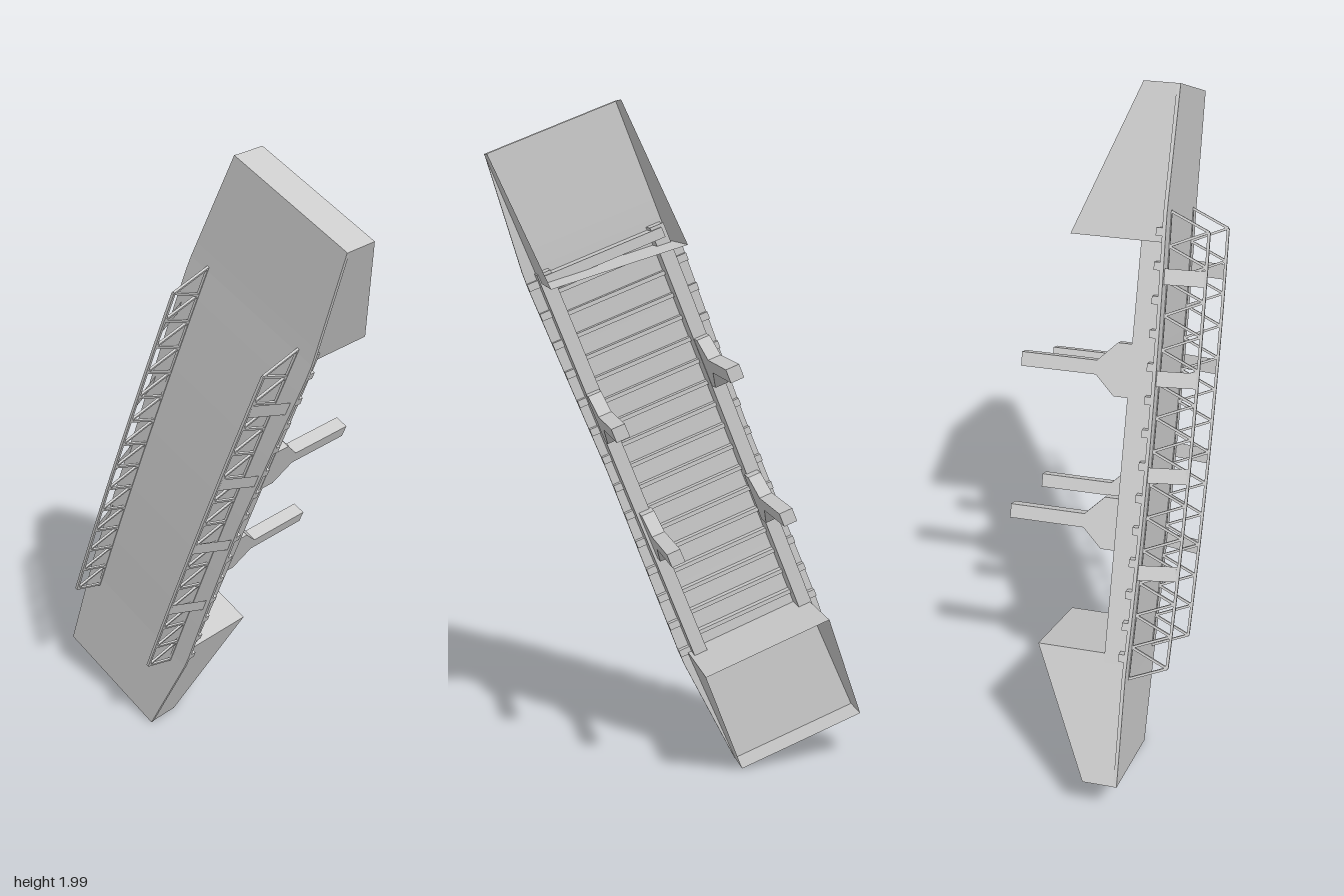
import * as THREE from 'three';

const mat = new THREE.MeshStandardMaterial({ color: 0xcccccc, flatShading: true, side: THREE.DoubleSide });
const V = (x, y, z) => new THREE.Vector3(x, y, z);

// gentle rise of the deck between the abutments
const camber = (y) => 0.01 * Math.max(0, 1 - (y / 0.66) ** 2);

// deck edges: [y, right edge, left edge]
const edges = [[-1, -0.205, 0.198], [-0.63, -0.226, 0.232], [0, -0.223, 0.22], [0.63, -0.237, 0.229], [1, -0.207, 0.196]];
function edgeAt(y, side) {
  let i = 0;
  while (i < edges.length - 2 && y > edges[i + 1][0]) i++;
  const a = edges[i], b = edges[i + 1], k = side < 0 ? 1 : 2;
  return THREE.MathUtils.mapLinear(y, a[0], b[0], a[k], b[k]);
}

function add(parent, name, geometry) {
  const mesh = new THREE.Mesh(geometry, mat);
  mesh.name = name;
  parent.add(mesh);
  return mesh;
}

function box(parent, name, w, h, d, x, y, z) {
  const mesh = add(parent, name, new THREE.BoxGeometry(w, h, d));
  mesh.position.set(x, y, z);
  return mesh;
}

// square bar between two points
function bar(parent, name, a, b, t) {
  const mesh = add(parent, name, new THREE.BoxGeometry(t, t, a.distanceTo(b)));
  mesh.position.copy(a).add(b).multiplyScalar(0.5);
  mesh.lookAt(b);
  return mesh;
}

// box bent to follow the camber
function beam(parent, name, w, length, z0, z1, x) {
  const g = new THREE.BoxGeometry(w, length, z1 - z0, 1, 20, 1).translate(x, 0, (z0 + z1) / 2);
  const p = g.attributes.position;
  for (let i = 0; i < p.count; i++) if (p.getZ(i) > z0 + 0.001) p.setZ(i, p.getZ(i) + camber(p.getY(i)));
  return add(parent, name, g);
}

function sheet(parent, name, corners) {
  const g = new THREE.BufferGeometry().setFromPoints(corners);
  g.setIndex([0, 1, 2, 0, 2, 3]);
  g.computeVertexNormals();
  return add(parent, name, g);
}

function makeDeck() {
  const g = new THREE.BoxGeometry(2, 2, 0.01, 1, 40, 1).translate(0, 0, 0.126);
  const p = g.attributes.position;
  for (let i = 0; i < p.count; i++) {
    const y = p.getY(i);
    p.setXYZ(i, edgeAt(y, p.getX(i)), y * 0.993, p.getZ(i) + camber(y));
  }
  g.computeVertexNormals();
  const mesh = new THREE.Mesh(g, mat);
  mesh.name = 'deck';
  return mesh;
}

// hollow abutment, open at the back, with sloping side walls
function makeAbutment(name, end, inR, inL) {
  const g = new THREE.Group();
  g.name = name;
  const outR = [-0.206, end], outL = [0.197, end];
  for (const [o, n] of [[outR, inR], [outL, inL]]) {
    sheet(g, 'sideWall', [V(...o, 0.13), V(...o, 0.03), V(...n, -0.137), V(...n, 0.13)]);
  }
  sheet(g, 'endWall', [V(...outR, 0.13), V(...outR, 0.03), V(...outL, 0.03), V(...outL, 0.13)]);
  sheet(g, 'innerWall', [V(...inR, 0.13), V(...inR, -0.137), V(...inL, -0.137), V(...inL, 0.13)]);
  const s = Math.sign(end);
  box(g, 'bearingShelf', 0.37, 0.03, 0.07, 0, (inR[1] + inL[1]) / 2 + s * 0.02, 0.085);
  return g;
}

// pier leg with a tapered haunch under the girder
function makePier(x, y) {
  const g = new THREE.Group();
  g.name = 'pier';
  box(g, 'leg', 0.04, 0.04, 0.29, 0, 0, -0.105);
  const s = new THREE.Shape([[-0.075, 0.07], [0.075, 0.07], [0.075, 0.02], [0.02, -0.035], [-0.02, -0.035], [-0.075, 0.02]]
    .map(([u, z]) => new THREE.Vector2(u, z)));
  const h = new THREE.ExtrudeGeometry(s, { depth: 0.04, bevelEnabled: false });
  // shape axes become y and z, depth becomes x
  h.applyMatrix4(new THREE.Matrix4().makeBasis(V(0, 1, 0), V(0, 0, 1), V(1, 0, 0)));
  h.translate(-0.02, 0, 0);
  add(g, 'haunch', h);
  g.position.set(x, y, 0);
  return g;
}

// zigzag railing truss with slanted ends
function makeRailing(side) {
  const g = new THREE.Group();
  g.name = side > 0 ? 'leftRailing' : 'rightRailing';
  const x = side * 0.172, n = 14, step = 1.33 / n;
  const low = (i) => { const y = -0.675 + i * step; return V(x, y, 0.13 + camber(y)); };
  const high = (i) => { const y = -0.675 + (i + 0.5) * step; return V(x, y, 0.238 + camber(y)); };
  for (let i = 0; i < n; i++) {
    bar(g, 'diagonal', low(i), high(i), 0.007);
    bar(g, 'diagonal', high(i), low(i + 1), 0.007);
    bar(g, 'bottomChord', low(i), low(i + 1), 0.007);
    if (i < n - 1) bar(g, 'topChord', high(i), high(i + 1), 0.008);
  }
  // leaning gusset plates on the outer side
  for (const y of [0.48, 0.2, -0.07, -0.35]) {
    const c = camber(y);
    sheet(g, 'gusset', [V(side * 0.215, y - 0.022, 0.13 + c), V(side * 0.215, y + 0.022, 0.13 + c),
      V(x, y + 0.022, 0.238 + c), V(x, y - 0.022, 0.238 + c)]);
  }
  return g;
}

export function createModel() {
  const model = new THREE.Group();
  model.name = 'bridge';
  const bridge = new THREE.Group();
  bridge.name = 'bridgeBody';
  model.add(bridge);

  bridge.add(makeDeck());
  bridge.add(makeAbutment('upperAbutment', 0.993, [-0.203, 0.57], [0.192, 0.602]));
  bridge.add(makeAbutment('lowerAbutment', -0.992, [-0.192, -0.603], [0.207, -0.606]));

  for (const side of [-1, 1]) {
    beam(bridge, 'girder', 0.042, 1.26, 0.06, 0.124, side * 0.175);
    bridge.add(makeRailing(side));
    // brackets carrying the deck overhang
    for (let i = 0; i < 14; i++) {
      const y = -0.6 + i * 1.2 / 13;
      const w = Math.abs(edgeAt(y, side)) - 0.19;
      box(bridge, 'bracket', w, 0.022, 0.018, side * (0.19 + w / 2), y, 0.113 + camber(y));
    }
  }

  // floor beams between the girders
  for (let i = 0; i < 17; i++) {
    const y = -0.56 + i * 0.07;
    box(bridge, 'floorBeam', 0.32, 0.012, 0.025, 0, y, 0.11 + camber(y));
  }

  for (const [x, y] of [[-0.175, 0.21], [0.177, 0.185], [-0.168, -0.228], [0.167, -0.203]]) {
    bridge.add(makePier(x, y));
  }

  // the whole bridge stands tilted
  bridge.rotation.z = -0.379;
  bridge.position.y = 1;
  return model;
}
